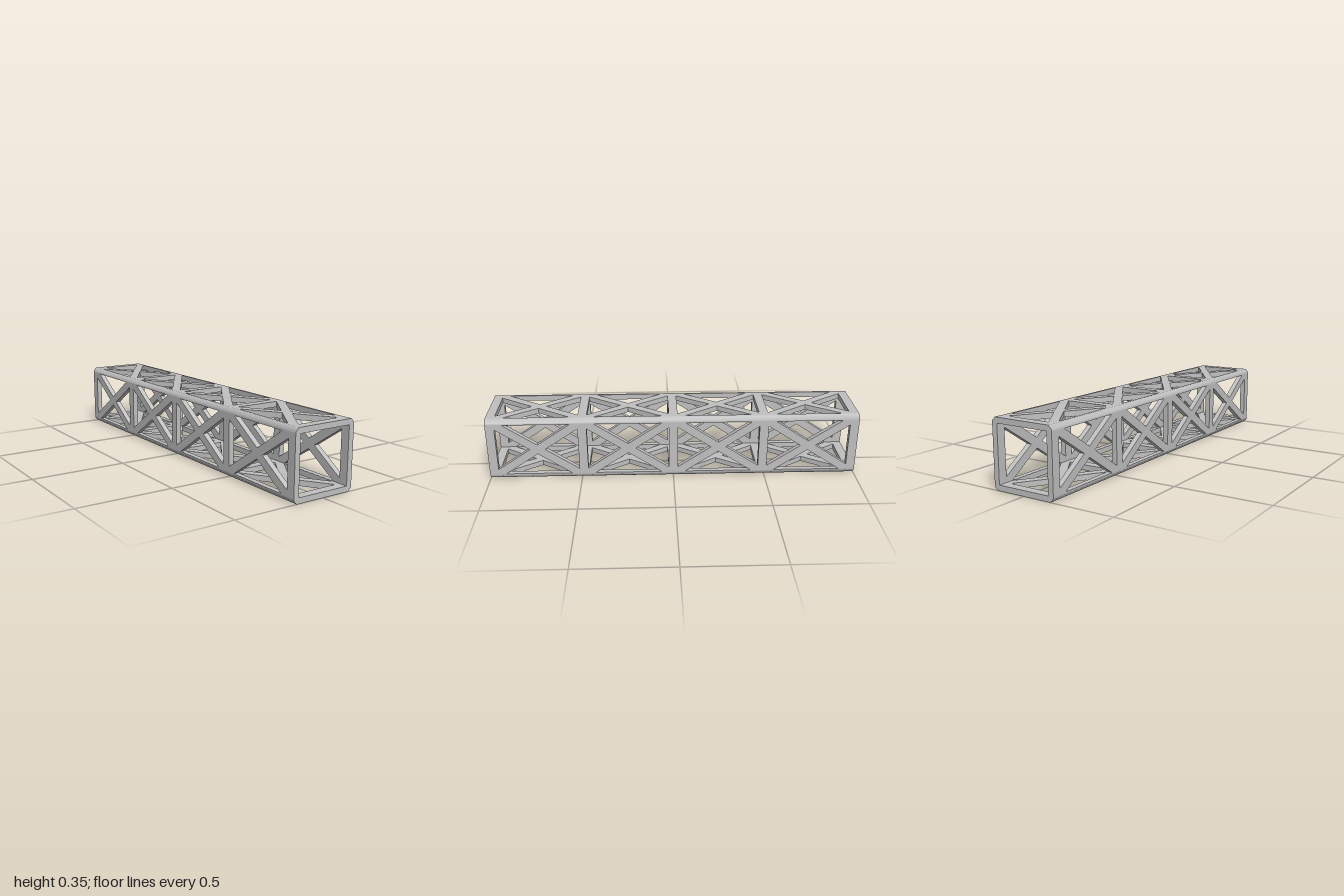
import * as THREE from 'three';
import { toCreasedNormals } from 'three/addons/utils/BufferGeometryUtils.js';

const HALF = 0.176;            // half of the square section
const WALL = 0.029;            // rail and lattice thickness
const INNER = HALF - WALL;     // half of the clear opening
const CHAMFER = 0.018;
const BAR = 0.048;             // cross bar width
const BRACE = 0.045;           // diagonal width
const CELLS = 4;

const polygon = (Type, pts) => new Type(pts.map(([x, y]) => new THREE.Vector2(x, y)));

// Flat lattice wall: each cell has four triangular openings around an X brace
function latticeGeometry() {
  const shape = polygon(THREE.Shape, [[-INNER, -1], [INNER, -1], [INNER, 1], [-INNER, 1]]);
  const a = INNER - 0.0005;
  const pitch = (2 - BAR) / CELLS;
  const b = (pitch - BAR) / 2;
  const len = Math.hypot(a, b);
  const dx = (BRACE / 2) * len / b;   // brace half width measured across
  const dy = (BRACE / 2) * len / a;   // brace half width measured along
  for (let i = 0; i < CELLS; i++) {
    const c = -1 + BAR / 2 + pitch * (i + 0.5);
    for (const s of [-1, 1]) {
      shape.holes.push(
        polygon(THREE.Path, [[-a + dx, c + s * b], [a - dx, c + s * b], [0, c + s * dy]]),
        polygon(THREE.Path, [[s * a, c - b + dy], [s * a, c + b - dy], [s * dx, c]])
      );
    }
  }
  const geometry = new THREE.ExtrudeGeometry(shape, { depth: WALL, bevelEnabled: false });
  geometry.rotateX(-Math.PI / 2);
  geometry.translate(0, INNER, 0);
  return geometry;
}

// Corner rail with a softened outer edge
function railGeometry() {
  const shape = polygon(THREE.Shape, [
    [INNER, INNER], [HALF, INNER], [HALF, HALF - CHAMFER],
    [HALF - CHAMFER, HALF], [INNER, HALF]
  ]);
  const geometry = new THREE.ExtrudeGeometry(shape, { depth: 2, bevelEnabled: false });
  geometry.translate(0, 0, -1);
  return toCreasedNormals(geometry, THREE.MathUtils.degToRad(50));
}

export function createModel() {
  const model = new THREE.Group();
  model.name = 'boxTruss';
  const metal = new THREE.MeshStandardMaterial({ color: 0xc0c0c0 });
  metal.name = 'greyMetal';

  const lattice = latticeGeometry();
  const rail = railGeometry();
  const walls = ['top', 'left', 'bottom', 'right'];
  const corners = ['topLeft', 'bottomLeft', 'bottomRight', 'topRight'];

  // Four walls and four corner rails, turned about the long axis
  for (let i = 0; i < 4; i++) {
    const parts = [[lattice, walls[i] + 'Lattice'], [rail, corners[i] + 'Rail']];
    for (const [geometry, name] of parts) {
      const mesh = new THREE.Mesh(geometry, metal);
      mesh.name = name;
      mesh.rotation.z = -i * Math.PI / 2;
      mesh.position.y = HALF;
      model.add(mesh);
    }
  }
  return model;
}
